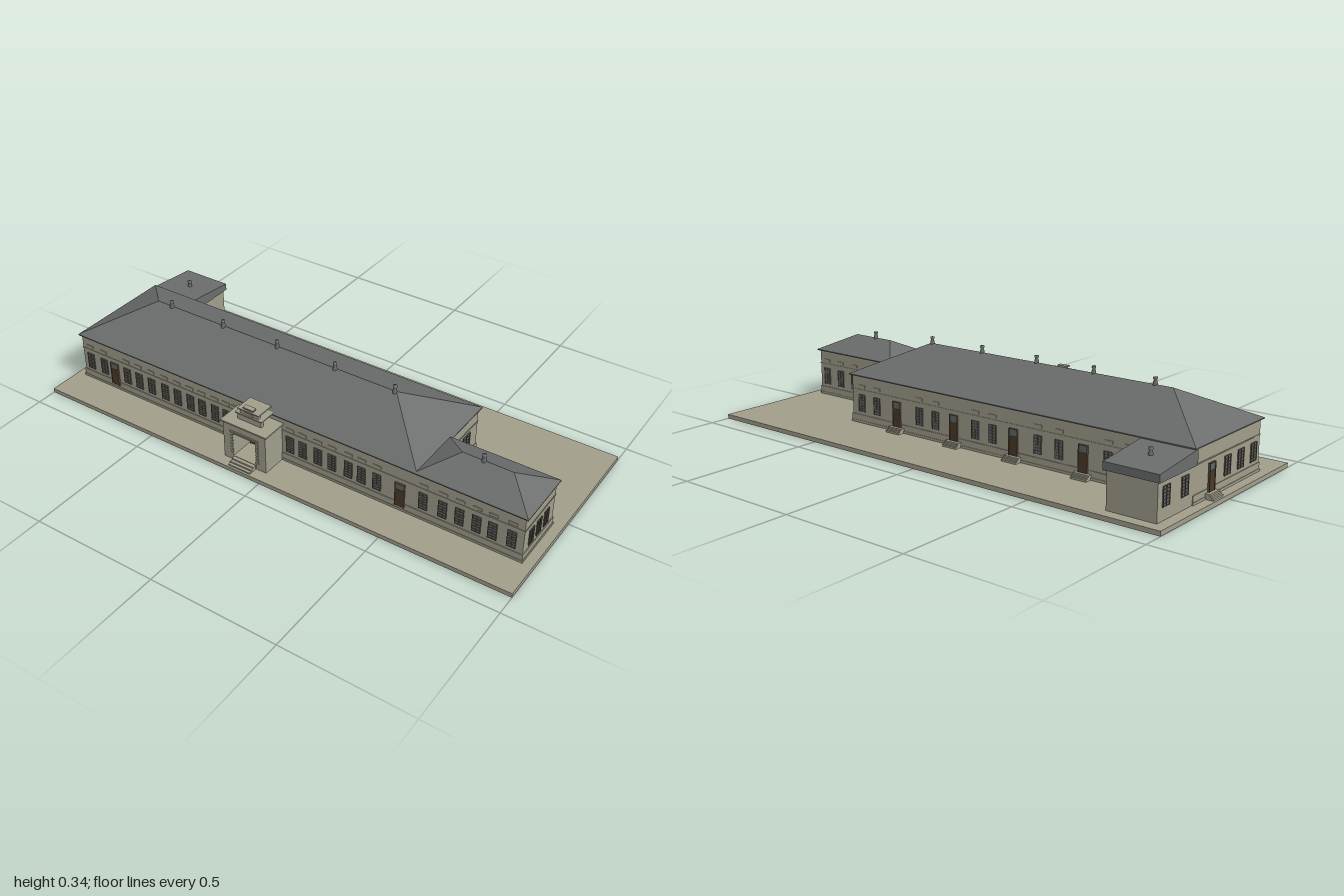
import * as THREE from 'three';

const mat = (name, color) => {
  const m = new THREE.MeshStandardMaterial({ color });
  m.name = name;
  return m;
};

export function createModel() {
  const model = new THREE.Group();
  model.name = 'longHall';
  const stone = mat('beige stone', 0xa09d8a);
  const slate = mat('grey slate', 0x6a6d6c);
  const glass = mat('window glass', 0x62676a);
  const brown = mat('brown frame', 0x5c4f3e);
  const wood = mat('dark door wood', 0x4b3a28);

  const add = (name, geo, material, parent = model) => {
    const m = new THREE.Mesh(geo, material);
    m.name = name;
    parent.add(m);
    return m;
  };
  // box given by its minimum and maximum corner
  const box = (name, material, x0, x1, y0, y1, z0, z1, parent = model) => {
    const m = add(name, new THREE.BoxGeometry(x1 - x0, y1 - y0, z1 - z0), material, parent);
    m.position.set((x0 + x1) / 2, (y0 + y1) / 2, (z0 + z1) / 2);
    return m;
  };
  // solid from flat polygon faces, corners counter-clockwise from outside
  const solid = (name, material, points, faces) => {
    const pos = [];
    for (const f of faces)
      for (let i = 1; i < f.length - 1; i++)
        for (const k of [f[0], f[i], f[i + 1]]) pos.push(...points[k]);
    const g = new THREE.BufferGeometry();
    g.setAttribute('position', new THREE.Float32BufferAttribute(pos, 3));
    g.computeVertexNormals();
    return add(name, g, material);
  };
  // hipped roof with a ridge along x
  const hipRoof = (name, x0, x1, z0, z1, y, r0, r1, top) => {
    const zr = (z0 + z1) / 2;
    solid(name, slate,
      [[x0, y, z1], [x1, y, z1], [x1, y, z0], [x0, y, z0], [r0, top, zr], [r1, top, zr]],
      [[0, 1, 5, 4], [1, 2, 5], [2, 3, 4, 5], [3, 0, 4], [3, 2, 1, 0]]);
    box(name + 'Eave', slate, x0, x1, y - 0.004, y, z0, z1);
  };

  // ground slab
  box('groundSlab', stone, -1, 1, 0, 0.017, -0.42, 0.42);

  // walls with plinth and string course
  const block = (name, x0, x1, z0, z1, top) => {
    box(name + 'Walls', stone, x0, x1, 0.017, top, z0, z1);
    for (const [part, y0, y1, e] of [['Footing', 0.017, 0.026, 0.005], ['Plinth', 0.026, 0.049, 0.003], ['StringCourse', 0.146, 0.15, 0.002]])
      box(name + part, stone, x0 - e, x1 + e, y0, y1, z0 - e, z1 + e);
  };
  block('main', -0.96, 0.55, -0.165, 0.273, 0.204);
  block('wing', 0.545, 0.958, 0.05, 0.273, 0.204);
  box('annexWalls', stone, -0.96, -0.775, 0.017, 0.152, -0.377, -0.16);

  // roofs
  hipRoof('mainRoof', -0.97, 0.56, -0.175, 0.282, 0.207, -0.745, 0.335, 0.32);
  hipRoof('wingRoof', 0.545, 0.968, 0.04, 0.282, 0.207, 0.66, 0.85, 0.267);
  const shed = new THREE.Shape([[0.16, 0.15], [0.385, 0.15], [0.385, 0.178], [0.16, 0.203]].map(p => new THREE.Vector2(...p)));
  const annexRoof = add('annexRoof', new THREE.ExtrudeGeometry(shed, { depth: 0.205, bevelEnabled: false }), slate);
  annexRoof.rotation.y = Math.PI / 2;
  annexRoof.position.x = -0.97;

  // roof vents
  const ventGeo = new THREE.LatheGeometry(
    [[0.01, -0.008], [0.008, 0.006], [0.005, 0.017], [0.008, 0.018], [0.008, 0.025], [0, 0.025]].map(p => new THREE.Vector2(...p)), 10);
  const vents = [-0.675, -0.425, -0.175, 0.08, 0.33].map(x => [x, 0.32, 0.055]);
  vents.push([0.74, 0.267, 0.16], [-0.865, 0.19, -0.27]);
  for (const p of vents) add('roofVent', ventGeo, slate).position.set(...p);

  // openings are built facing +z and turned onto their wall
  const mount = (name, x, z, turn) => {
    const g = new THREE.Group();
    g.name = name;
    g.position.set(x, 0, z);
    g.rotation.y = turn * Math.PI / 2;
    model.add(g);
    return g;
  };
  const makeWindow = (x, z, turn, w = 0.033, lintel = true, y0 = 0.062, y1 = 0.13) => {
    const g = mount('window', x, z, turn), h = w / 2;
    box('pane', glass, -h, h, y0, y1, 0, 0.002, g);
    for (const s of [-1, 0, 1]) {
      const c = s * (h - 0.001);
      box('upright', brown, c - 0.001, c + 0.001, y0, y1, 0, 0.004, g);
    }
    for (let i = 0; i <= 6; i++) {
      const y = y0 + 0.001 + (y1 - y0 - 0.002) * i / 6;
      box('glazingBar', brown, -h, h, y - 0.0008, y + 0.0008, 0, 0.0035, g);
    }
    if (lintel) box('wallOrnament', stone, -h, h, 0.157, 0.168, 0, 0.003, g);
  };
  const makeDoor = (x, z, turn, steps) => {
    const g = mount('door', x, z, turn);
    box('doorLeaf', wood, -0.017, 0.017, 0.037, 0.108, 0, 0.005, g);
    box('transomLight', glass, -0.017, 0.017, 0.108, 0.132, 0, 0.004, g);
    for (const s of [-1, 1]) box('doorPost', brown, s * 0.018 - 0.001, s * 0.018 + 0.001, 0.037, 0.135, 0, 0.007, g);
    box('doorHead', brown, -0.019, 0.019, 0.132, 0.135, 0, 0.007, g);
    if (steps) for (let i = 0; i < 3; i++)
      box('doorStep', stone, -0.032, 0.032, 0.017, 0.036 - i * 0.006, 0, 0.016 + i * 0.007, g);
  };

  // front
  for (const x of [-0.922, -0.853, -0.735, -0.674, -0.612, -0.545, -0.484, -0.422, -0.366, -0.305, -0.251, -0.21,
    0.035, 0.09, 0.155, 0.214, 0.283, 0.337, 0.4, 0.583, 0.658, 0.722, 0.786, 0.845, 0.915]) makeWindow(x, 0.273, 0);
  for (const x of [-0.795, 0.495]) makeDoor(x, 0.276, 0, false);
  // back
  for (const x of [0.5, 0.42, 0.2, 0.12, -0.07, -0.15, -0.35, -0.44, -0.64, -0.72]) makeWindow(x, -0.165, 2);
  for (const x of [0.311, 0.028, -0.247, -0.543]) makeDoor(x, -0.168, 2, true);
  for (const x of [0.6, 0.68, 0.76, 0.84, 0.92]) makeWindow(x, 0.05, 2);
  // left end
  for (const z of [0.22, 0.165, 0.11]) makeWindow(0.958, z, 1, 0.033, false, 0.062, 0.126);
  for (const z of [0.005, -0.083]) makeWindow(0.55, z, 1, 0.05, false, 0.06, 0.135);
  // right end
  for (const z of [-0.33, -0.22, 0.05, 0.14, 0.23]) makeWindow(-0.96, z, 3, 0.04, false);
  makeDoor(-0.963, -0.06, 3, true);

  // entrance porch
  const px = -0.093;
  const arch = [[-0.093, 0.035], [-0.05, 0.035], [-0.05, 0.132], [0.05, 0.132], [0.05, 0.035], [0.093, 0.035], [0.093, 0.174], [-0.093, 0.174]];
  const porch = add('porchWalls', new THREE.ExtrudeGeometry(
    new THREE.Shape(arch.map(p => new THREE.Vector2(...p))), { depth: 0.102, bevelEnabled: false }), stone);
  porch.position.set(px, 0, 0.272);
  box('porchFloor', stone, px - 0.05, px + 0.05, 0.017, 0.036, 0.27, 0.376);
  for (const s of [-1, 1]) {
    const c = px + s * 0.0715;
    box('porchFooting', stone, c - 0.0215, c + 0.0215, 0.017, 0.036, 0.27, 0.374);
    for (let i = 0; i < 8; i++) {
      const y = 0.042 + i * 0.0125, q = px + s * 0.056;
      box('quoin', stone, q - 0.006, q + 0.006, y, y + 0.008, 0.374, 0.377);
    }
  }
  box('porchLintel', stone, px - 0.062, px + 0.062, 0.14, 0.146, 0.374, 0.378);
  box('porchCornice', stone, px - 0.101, px + 0.101, 0.174, 0.18, 0.27, 0.38);
  for (let i = 0; i < 3; i++)
    box('porchStep', stone, px - 0.048, px + 0.048, 0.017, 0.034 - i * 0.006, 0.37, 0.39 + i * 0.011);

  // entrance door
  box('entranceDoor', wood, px - 0.042, px + 0.042, 0.036, 0.122, 0.274, 0.282);
  box('entranceTransom', glass, px - 0.05, px + 0.05, 0.122, 0.132, 0.274, 0.281);
  for (const s of [-1, 0, 1])
    box('entrancePost', brown, px + s * 0.043 - 0.002, px + s * 0.043 + 0.002, 0.036, 0.132, 0.274, 0.285);

  // stepped parapet with caps
  for (const [half, y0, y1, cap] of [[0.052, 0.18, 0.206, 0.059], [0.04, 0.206, 0.228, 0.047], [0.018, 0.228, 0.24, 0.022]]) {
    box('parapet', stone, px - half, px + half, y0, y1, 0.326, 0.34);
    box('parapetCap', stone, px - cap, px + cap, y1, y1 + 0.005, y1 > 0.235 ? 0.326 : 0.27, 0.346);
  }
  box('parapetPanel', stone, px - 0.018, px + 0.018, 0.212, 0.222, 0.34, 0.343);
  return model;
}
